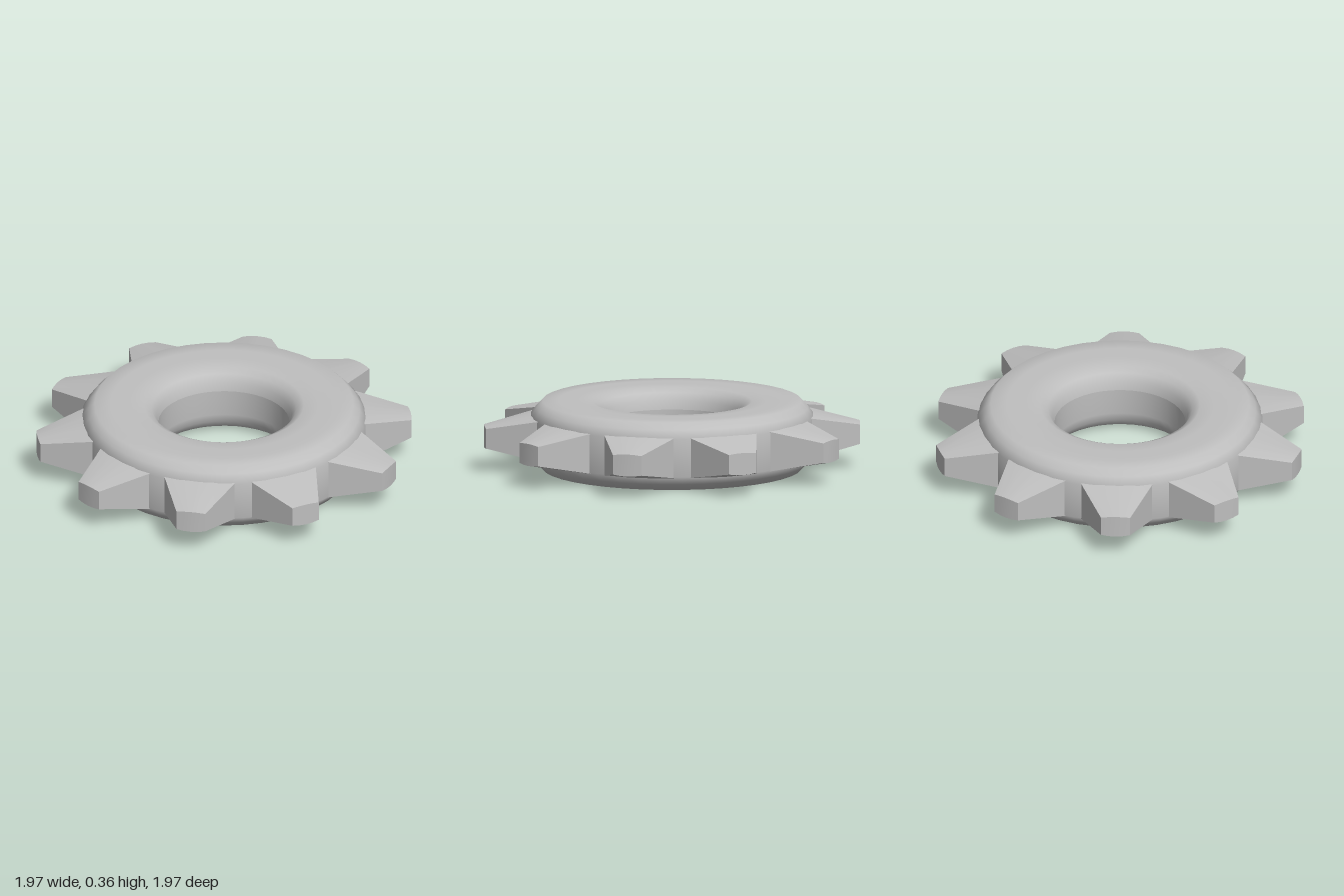
import * as THREE from 'three';
import { toCreasedNormals } from 'three/addons/utils/BufferGeometryUtils.js';

const TEETH = 10;
const MID = 0.18; // half the thickness of the ring

// Tooth tapering outwards along +x, with slightly crowned top and bottom
function toothGeometry() {
  const inner = 0.66, outer = 0.99;
  const g = new THREE.BoxGeometry(1, 1, 1, 1, 1, 4);
  const p = g.attributes.position;
  for (let i = 0; i < p.count; i++) {
    const t = p.getX(i) + 0.5; // 0 at the root, 1 at the tip
    const s = p.getZ(i) * 2; // -1 to 1 across the width
    const halfWidth = THREE.MathUtils.lerp(0.213, 0.077, t);
    const halfHeight = THREE.MathUtils.lerp(0.118, 0.052, t) + 0.007 * (1 - s * s);
    p.setXYZ(
      i,
      THREE.MathUtils.lerp(inner, outer, t) - 0.005 * s * s * t,
      Math.sign(p.getY(i)) * halfHeight,
      s * halfWidth
    );
  }
  return toCreasedNormals(g, 0.5);
}

export function createModel() {
  const model = new THREE.Group();
  model.name = 'gear';
  const metal = new THREE.MeshStandardMaterial({ color: 0xbfbfbf });
  metal.name = 'grey metal';

  // Ring: upper half of the section from bore to rim, mirrored below
  const upper = [
    [0.345, 0.07], [0.355, 0.115], [0.38, 0.155], [0.42, 0.176],
    [0.5, 0.18], [0.6, 0.18], [0.68, 0.18], [0.715, 0.145], [0.75, 0.1],
  ];
  const lower = upper.map(([r, y]) => [r, -y]).reverse();
  // Lathe profiles run upwards on the outside to face outwards
  const profile = [...upper, ...lower, upper[0]]
    .reverse()
    .map(([r, y]) => new THREE.Vector2(r, y + MID));
  const ring = new THREE.Mesh(new THREE.LatheGeometry(profile, 40), metal);
  ring.name = 'ring';
  model.add(ring);

  // Teeth around the rim
  const geometry = toothGeometry();
  for (let i = 0; i < TEETH; i++) {
    const tooth = new THREE.Mesh(geometry, metal);
    tooth.name = `tooth${i + 1}`;
    tooth.position.y = MID;
    tooth.rotation.y = -THREE.MathUtils.degToRad(9.1 + (i * 360) / TEETH);
    model.add(tooth);
  }
  return model;
}
